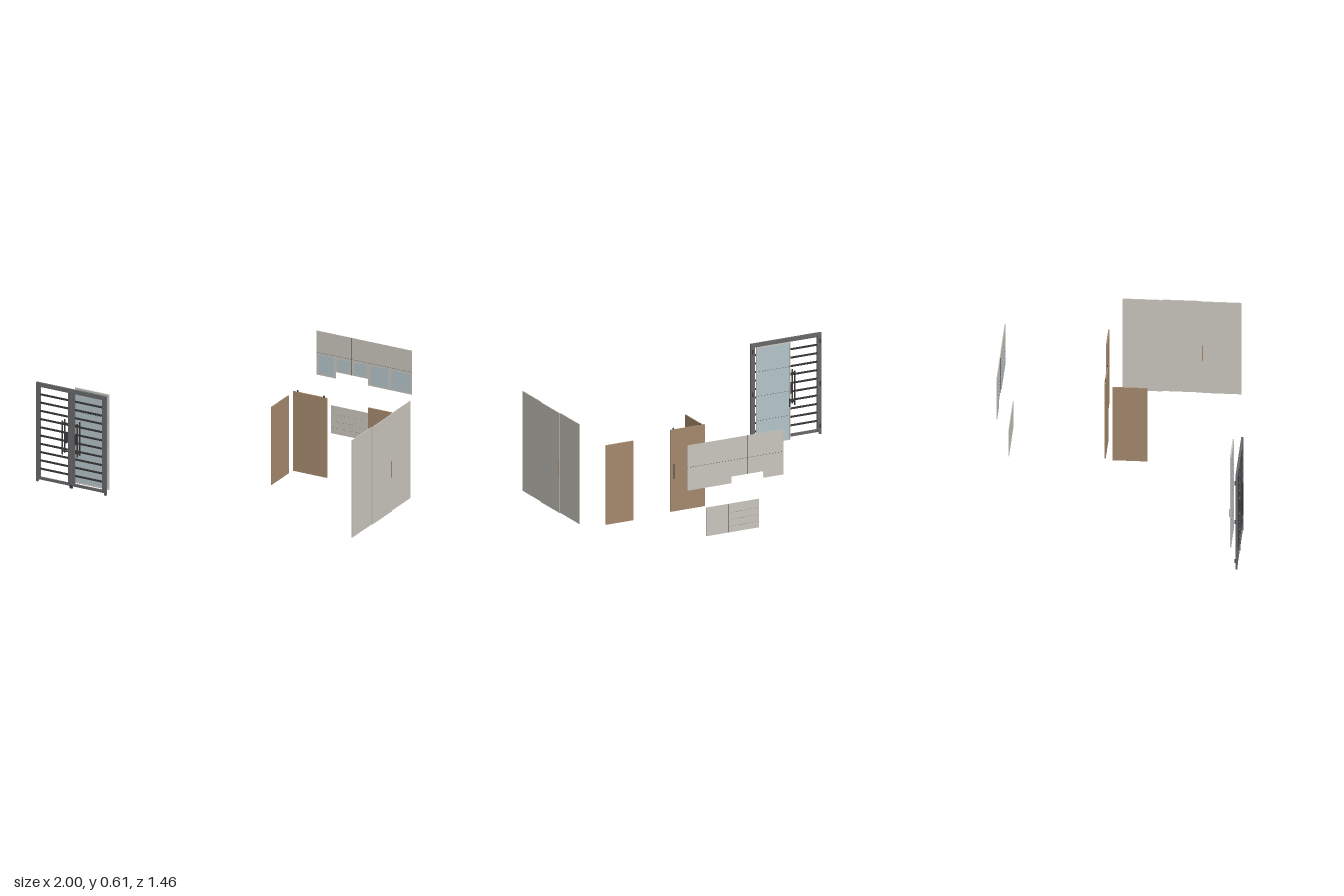
import * as THREE from 'three';

const mat = (name, color, side = THREE.FrontSide) => {
  const m = new THREE.MeshStandardMaterial({ color, side });
  m.name = name;
  return m;
};

export function createModel() {
  const root = new THREE.Group();
  root.name = 'doorAndCabinetFronts';
  const steel = mat('frame grey', 0x67666a);
  const dark = mat('dark metal', 0x38383a);
  const beige = mat('beige panel', 0xc8c5bc);
  const wood = mat('brown wood', 0xa4886c);
  const glass = mat('pale blue glass', 0xb4c3ca);

  const group = (name) => {
    const g = new THREE.Group();
    g.name = name;
    root.add(g);
    return g;
  };
  // Box given by its limits on each axis
  const box = (parent, name, m, x0, x1, y0, y1, z0, z1) => {
    const b = new THREE.Mesh(new THREE.BoxGeometry(x1 - x0, y1 - y0, z1 - z0), m);
    b.position.set((x0 + x1) / 2, (y0 + y1) / 2, (z0 + z1) / 2);
    b.name = name;
    parent.add(b);
    return b;
  };

  // Double entrance gate: posts, head rail and two barred leaves
  const gate = group('entranceGate');
  const z0 = 0.705, z1 = 0.718;
  box(gate, 'leftPost', steel, -1, -0.988, 0, 0.608, z0, z1);
  box(gate, 'rightPost', steel, -0.555, -0.544, 0, 0.608, z0, z1);
  box(gate, 'headRail', steel, -0.988, -0.555, 0.597, 0.608, z0, z1);
  box(gate, 'floorBolt', dark, -0.78, -0.764, 0, 0.02, z0, z1);
  for (const [a, b] of [[-0.987, -0.772], [-0.769, -0.556]]) {
    box(gate, 'leafOuterStile', steel, a, a + 0.014, 0.014, 0.595, z0 + 0.001, z1 - 0.001);
    box(gate, 'leafInnerStile', steel, b - 0.014, b, 0.014, 0.595, z0 + 0.001, z1 - 0.001);
    box(gate, 'leafTopRail', steel, a, b, 0.583, 0.595, z0 + 0.002, z1 - 0.002);
    box(gate, 'leafBottomRail', steel, a, b, 0.014, 0.03, z0 + 0.002, z1 - 0.002);
    for (let i = 0; i < 10; i++) {
      const y = 0.08 + i * 0.0507;
      box(gate, 'leafBar', dark, a + 0.014, b - 0.014, y - 0.005, y + 0.005, 0.708, 0.715);
    }
  }
  box(gate, 'leftMeetingStile', steel, -0.79, -0.772, 0.014, 0.595, z0 + 0.001, z1 - 0.001);
  box(gate, 'rightMeetingStile', steel, -0.769, -0.748, 0.014, 0.595, z0 + 0.001, z1 - 0.001);

  // Pull handles on both faces, with stand-offs and lock plates
  for (const x of [-0.823, -0.725]) {
    const inner = x < -0.775 ? -0.785 : -0.757;
    for (const z of [0.698, 0.727]) {
      const bar = new THREE.Mesh(new THREE.CylinderGeometry(0.004, 0.004, 0.205, 12), dark);
      bar.position.set(x, 0.306, z);
      bar.name = 'pullHandle';
      gate.add(bar);
    }
    for (const y of [0.22, 0.392]) {
      box(gate, 'handleStandoff', dark, x - 0.003, x + 0.003, y - 0.003, y + 0.003, 0.698, 0.727);
      box(gate, 'handleArm', dark, Math.min(x, inner), Math.max(x, inner), y - 0.003, y + 0.003, 0.71, 0.714);
    }
    const lock = x < -0.775 ? -0.803 : -0.743;
    box(gate, 'lockPlate', dark, lock - 0.003, lock + 0.003, 0.272, 0.33, 0.703, 0.72);
  }
  for (const x of [-0.99, -0.554])
    for (const y of [0.05, 0.305, 0.56])
      box(gate, 'hinge', dark, x - 0.004, x + 0.004, y - 0.012, y + 0.012, 0.701, 0.705);

  // Glazed inner door behind the right leaf
  const inner = group('glazedDoor');
  box(inner, 'doorGlass', glass, -0.77, -0.56, 0.02, 0.595, 0.659, 0.663);
  for (const x of [-0.775, -0.56])
    box(inner, 'doorStile', beige, x, x + 0.005, 0.015, 0.6, 0.657, 0.665);
  for (const y of [0.015, 0.595])
    box(inner, 'doorRail', beige, -0.77, -0.56, y, y + 0.005, 0.657, 0.665);
  for (let i = 1; i < 4; i++)
    box(inner, 'glassJoint', dark, -0.77, -0.56, 0.0145 + i * 0.146, 0.0155 + i * 0.146, 0.6588, 0.6632);
  box(inner, 'doorLatch', dark, -0.771, -0.766, 0.212, 0.262, 0.654, 0.659);

  // Three-panel sliding partition, the middle panel set outward
  const slide = group('slidingPartition');
  for (let i = 0; i < 3; i++) {
    const z = -0.085 + i * 0.226, out = i === 1 ? 0.005 : 0;
    box(slide, 'slidingPanel', beige, 0.986 + out, 0.991 + out, 0.007, 0.604, z, z + 0.226);
  }
  box(slide, 'outerPull', wood, 0.996, 1, 0.218, 0.318, 0.145, 0.15);
  box(slide, 'innerPull', wood, 0.983, 0.986, 0.218, 0.318, 0.368, 0.373);

  // Plain wooden doors
  const doors = group('woodenDoors');
  box(doors, 'hangingDoor', wood, 0.203, 0.424, 0.003, 0.492, -0.131, -0.123);
  for (const x of [0.234, 0.404])
    box(doors, 'hangerPeg', dark, x - 0.004, x + 0.004, 0.492, 0.502, -0.129, -0.125);
  box(doors, 'doorPull', dark, 0.4, 0.407, 0.198, 0.285, -0.135, -0.131);
  box(doors, 'sideDoor', wood, 0.193, 0.199, 0, 0.478, -0.085, 0.115);
  box(doors, 'farDoor', wood, 0.678, 0.855, 0.001, 0.476, -0.157, -0.149);

  // Wall cabinet front, notched along its lower edge
  const upper = group('wallCabinet');
  const outline = [[0.02, 0.34], [0.145, 0.34], [0.145, 0.38], [0.355, 0.38],
    [0.355, 0.34], [0.64, 0.34], [0.64, 0.61], [0.02, 0.61]];
  const board = new THREE.Mesh(new THREE.ExtrudeGeometry(
    new THREE.Shape(outline.map(([x, y]) => new THREE.Vector2(x, y))),
    { depth: 0.004, bevelEnabled: false }), beige);
  board.position.z = -0.732;
  board.name = 'cabinetFront';
  upper.add(board);
  for (const [a, b, y] of [[0.035, 0.135, 0.35], [0.16, 0.24, 0.39], [0.265, 0.345, 0.39],
    [0.37, 0.49, 0.35], [0.51, 0.632, 0.35]])
    box(upper, 'cabinetGlass', glass, a, b, y, 0.466, -0.728, -0.727);
  box(upper, 'cabinetSeam', dark, 0.249, 0.252, 0.38, 0.61, -0.7325, -0.7275);
  box(upper, 'doorJoint', dark, 0.02, 0.64, 0.4775, 0.4785, -0.7322, -0.7278);

  // Base cabinet front: drawers beside a single door
  const lower = group('baseCabinet');
  box(lower, 'cabinetDoor', beige, 0.346, 0.485, 0.026, 0.197, -0.674, -0.67);
  const levels = [0.026, 0.062, 0.102, 0.144, 0.197];
  for (let i = 0; i < 4; i++)
    box(lower, 'drawerFront', beige, 0.145, 0.344, levels[i] + (i ? 0.001 : 0), levels[i + 1], -0.674, -0.67);
  box(lower, 'drawerJoints', dark, 0.147, 0.347, 0.028, 0.195, -0.673, -0.671);

  return root;
}
